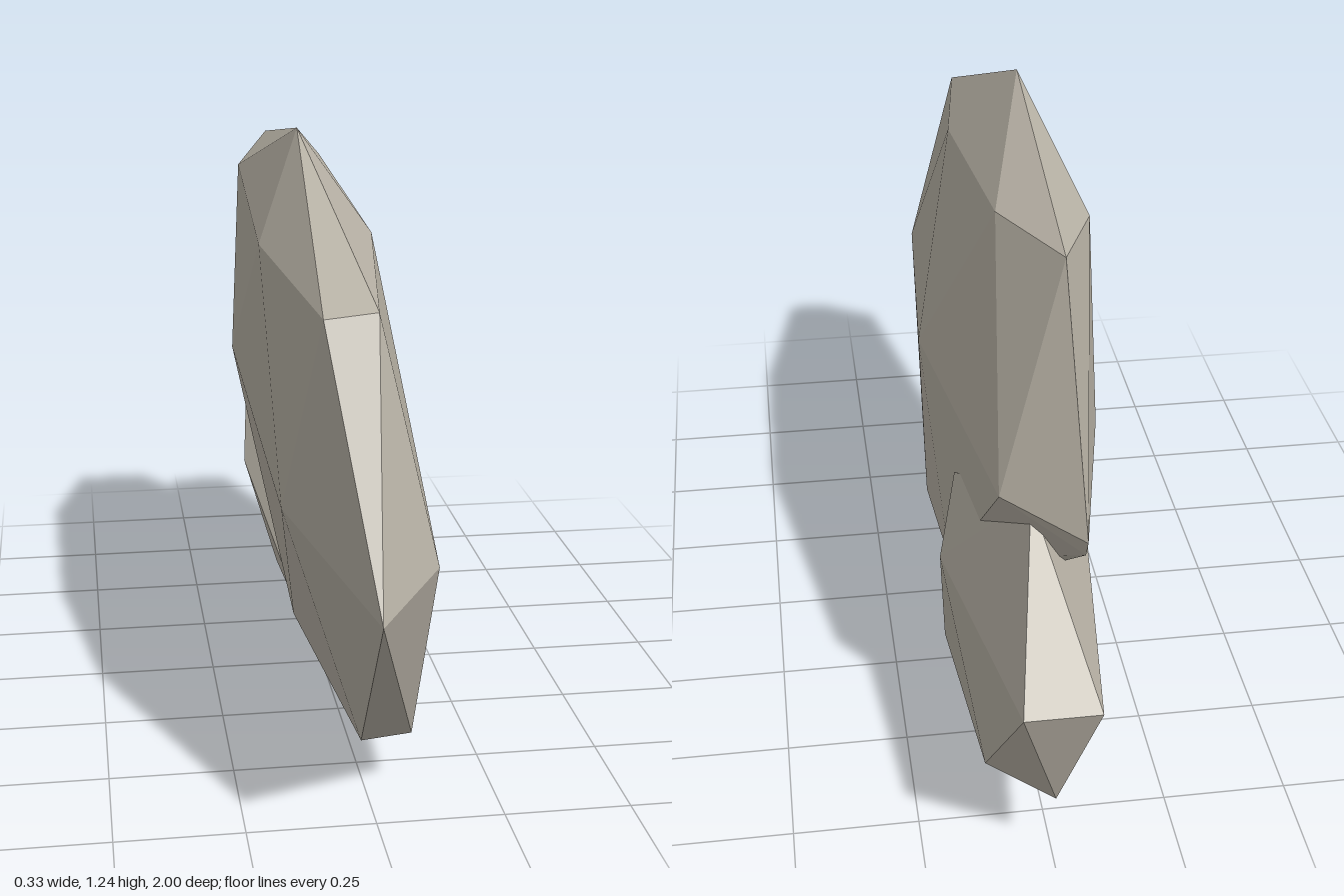
import * as THREE from 'three';
import { ConvexGeometry } from 'three/addons/geometries/ConvexGeometry.js';

// Each lump is the faceted hull of a few corner points
function lump(name, corners, material) {
  const points = corners.map(c => new THREE.Vector3(...c));
  const mesh = new THREE.Mesh(new ConvexGeometry(points), material);
  mesh.name = name;
  return mesh;
}

export function createModel() {
  const stone = new THREE.MeshStandardMaterial({ color: 0xb8b2a6, flatShading: true });
  stone.name = 'warm grey stone';

  const group = new THREE.Group();
  group.name = 'rock';

  // Large upright slab
  group.add(lump('mainBoulder', [
    // crest
    [-0.07, 1.24, 0.13], [-0.15, 1.10, -0.30], [0.035, 1.12, -0.30], [-0.06, 1.14, -0.55],
    [-0.165, 1.03, 0.27], [0.06, 1.05, 0.28],
    // front end
    [-0.10, 0.985, 0.73], [0.0, 0.995, 0.73], [-0.035, 0.51, 1.0], [0.10, 0.54, 0.81],
    [-0.01, 0.11, 0.62], [0.09, 0.12, 0.62],
    // broad sides
    [0.155, 0.64, 0.07], [-0.15, 0.555, 0.50], [-0.165, 0.66, -0.35],
    // back end
    [0.08, 0.72, -0.68], [-0.055, 0.73, -0.86], [-0.055, 0.69, -0.84],
    // underside
    [0.135, 0.18, 0.16], [0.12, 0.22, -0.18], [0.05, 0.01, 0.0], [-0.075, 0.155, 0.08],
  ], stone));

  // Smaller lump fused to the lower back
  group.add(lump('lowerBoulder', [
    // upper corners, partly buried in the slab
    [0.02, 0.71, -0.68], [0.12, 0.53, -0.30], [-0.12, 0.54, -0.48],
    // sides
    [0.163, 0.39, -0.40], [-0.135, 0.36, -0.40],
    // back end
    [0.08, 0.455, -1.0], [-0.065, 0.455, -1.0], [0.12, 0.165, -0.78], [0.0, 0.17, -0.90],
    // underside
    [0.05, 0.0, -0.43], [0.145, 0.108, -0.30], [0.08, 0.06, 0.03],
    [-0.03, 0.06, -0.08], [-0.075, 0.155, -0.25],
  ], stone));

  return group;
}
